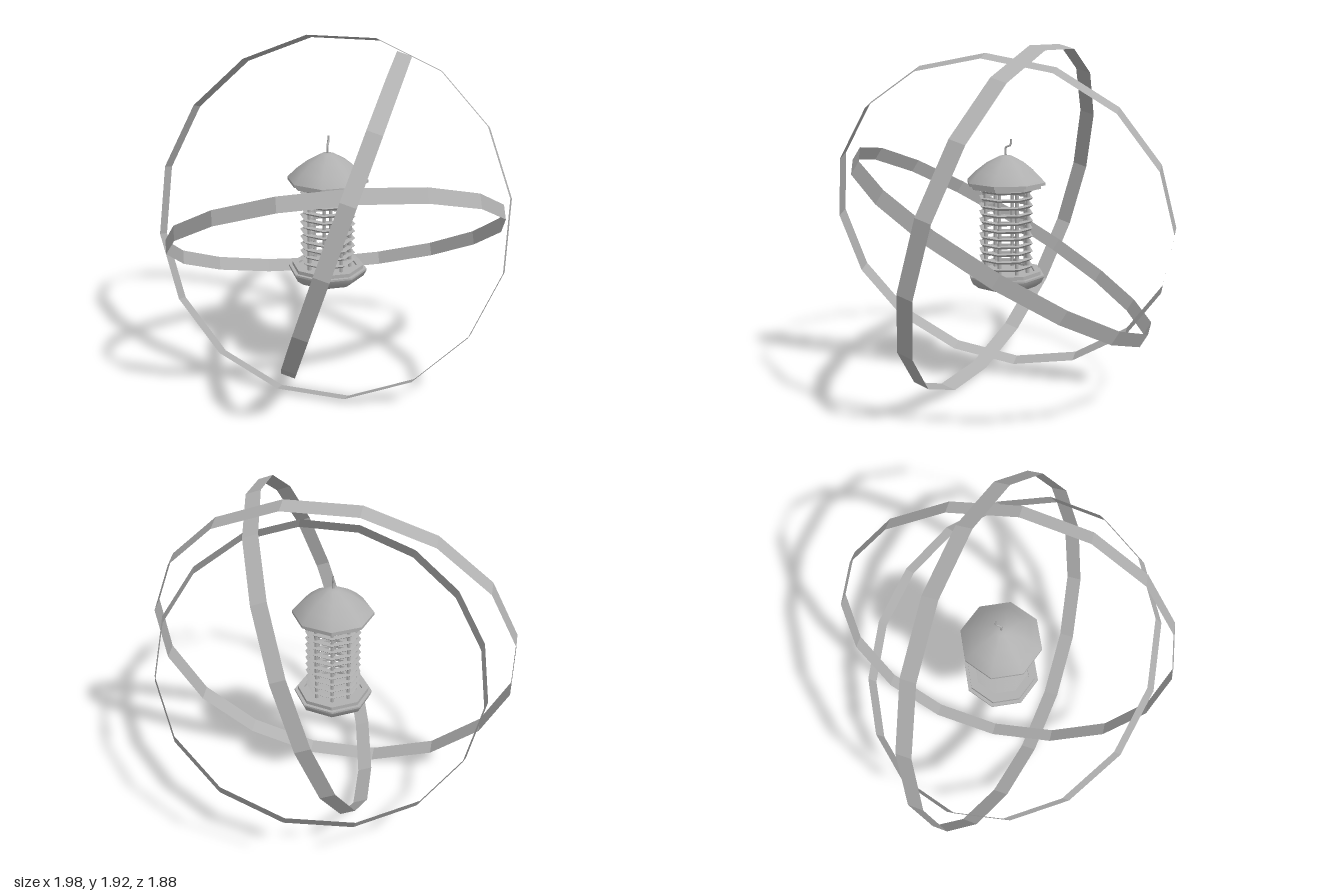
import * as THREE from 'three';
import { toCreasedNormals } from 'three/addons/utils/BufferGeometryUtils.js';

const grey = new THREE.MeshStandardMaterial({ color: 0xb0b0b0, side: THREE.DoubleSide });
grey.name = 'grey metal';

function add(parent, name, geometry) {
  const mesh = new THREE.Mesh(geometry, grey);
  mesh.name = name;
  parent.add(mesh);
  return mesh;
}

// Eight-sided turned part; profile runs from bottom to top on the outside
function turned(profile, crease = 0.9) {
  const points = profile.map(([r, y]) => new THREE.Vector2(r, y));
  return toCreasedNormals(new THREE.LatheGeometry(points, 8), crease);
}

// Thin 16-sided band around an axis, with one corner along the given direction
function band(parent, name, { radius, width, axis, corner, centre }) {
  const geometry = toCreasedNormals(
    new THREE.CylinderGeometry(radius, radius, width, 16, 1, true), 0.1);
  const y = new THREE.Vector3(...axis).normalize();
  const z = new THREE.Vector3(...corner);
  z.addScaledVector(y, -z.dot(y)).normalize();
  const x = new THREE.Vector3().crossVectors(y, z);
  const mesh = add(parent, name, geometry);
  mesh.quaternion.setFromRotationMatrix(new THREE.Matrix4().makeBasis(x, y, z));
  mesh.position.set(...centre);
}

export function createModel() {
  const model = new THREE.Group();
  model.name = 'ringedLantern';

  // Three tilted bands around the lantern
  band(model, 'outerBand', { radius: 1.005, width: 0.09,
    axis: [-0.15, 0.275, 0.95], corner: [-0.15, 0.96, -0.29], centre: [0, 0.975, 0] });
  band(model, 'uprightBand', { radius: 0.94, width: 0.082,
    axis: [0.949, -0.315, 0], corner: [0, 0, 1], centre: [0.105, 0.993, 0] });
  band(model, 'slantedBand', { radius: 0.937, width: 0.08,
    axis: [-0.154, 0.856, -0.494], corner: [0.175, -0.45, -0.81], centre: [0.047, 0.867, 0] });

  const lantern = new THREE.Group();
  lantern.name = 'lantern';
  model.add(lantern);

  // Base: rounded bowl, flange and stepped rim
  add(lantern, 'baseBowl', turned([[0, 0.59], [0.1, 0.597], [0.17, 0.613], [0.205, 0.64], [0.22, 0.672]]));
  add(lantern, 'baseFlange', turned([[0.22, 0.672], [0.22, 0.682], [0.2, 0.682], [0.2, 0.702],
    [0.165, 0.702], [0.165, 0.69], [0, 0.69]], 0.4));

  // Roof with a stepped lip and an open underside
  add(lantern, 'roof', turned([[0.223, 1.2], [0.17, 1.252], [0.11, 1.298], [0.035, 1.338], [0, 1.343]]));
  add(lantern, 'roofLip', turned([[0.14, 1.2], [0.15, 1.165], [0.2, 1.165], [0.2, 1.185],
    [0.223, 1.185], [0.223, 1.2]], 0.4));

  // Cage posts
  for (let i = 0; i < 8; i++) {
    const a = i * Math.PI / 4;
    const post = add(lantern, 'cagePost', new THREE.CylinderGeometry(0.011, 0.011, 0.52, 6));
    post.position.set(Math.sin(a) * 0.125, 0.945, Math.cos(a) * 0.125);
  }

  // Cage slats with a pointed outer edge
  const slat = turned([[0.122, -0.008], [0.138, -0.008], [0.155, 0.005], [0.138, 0.008],
    [0.122, 0.008], [0.122, -0.008]], 0.4);
  for (let i = 0; i < 11; i++) add(lantern, 'cageSlat', slat).position.y = 0.725 + i * 0.0425;

  // Hook on the roof
  const hook = new THREE.CatmullRomCurve3([[1.33, 0], [1.385, 0], [1.397, -0.025], [1.43, -0.03]]
    .map(([y, z]) => new THREE.Vector3(0, y, z)));
  add(lantern, 'hook', new THREE.TubeGeometry(hook, 10, 0.006, 6));

  return model;
}
